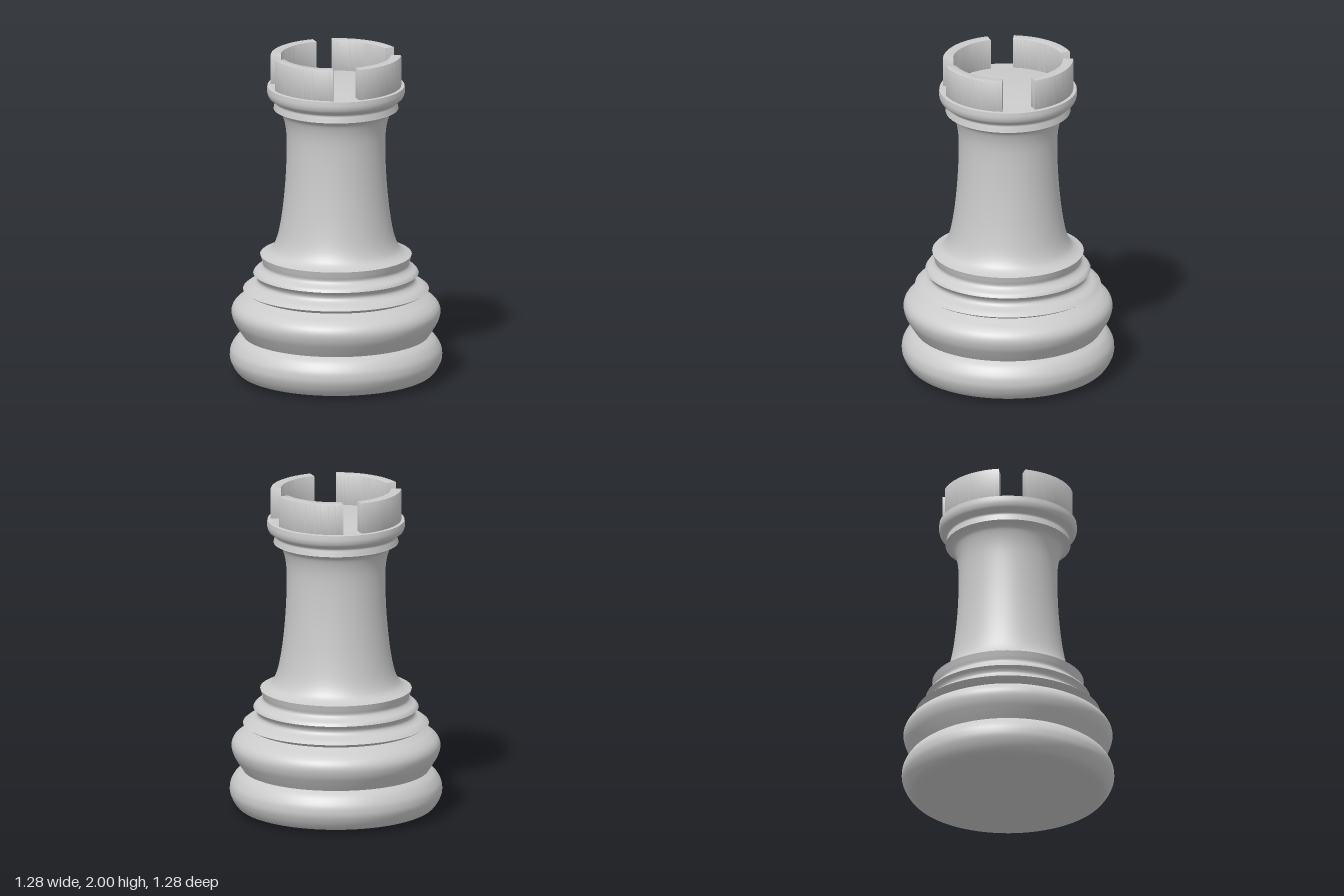
import * as THREE from 'three';
import { toCreasedNormals } from 'three/addons/utils/BufferGeometryUtils.js';

const material = new THREE.MeshStandardMaterial({ color: 0xcccccc });

// Turned section: a smooth curve through [radius, height] points
function turned(name, points, steps = 28) {
  const curve = new THREE.SplineCurve(points.map(([r, y]) => new THREE.Vector2(r, y)));
  const profile = curve.getPoints(steps);
  profile.forEach((p) => { p.x = Math.max(p.x, 0); });
  const mesh = new THREE.Mesh(new THREE.LatheGeometry(profile, 96), material);
  mesh.name = name;
  return mesh;
}

// Curved battlement block centred on an angle (degrees, counter-clockwise from +x)
function merlon(name, degrees) {
  const inner = 0.33, outer = 0.393, bevel = 0.005;
  const mid = THREE.MathUtils.degToRad(degrees);
  const half = THREE.MathUtils.degToRad(33.4);
  const shape = new THREE.Shape();
  shape.absarc(0, 0, outer, mid - half, mid + half, false);
  shape.absarc(0, 0, inner, mid + half, mid - half, true);
  const geometry = new THREE.ExtrudeGeometry(shape, {
    depth: 0.2 - bevel * 2, curveSegments: 28,
    bevelSize: bevel, bevelThickness: bevel, bevelOffset: -bevel, bevelSegments: 2,
  });
  geometry.rotateX(-Math.PI / 2);
  geometry.translate(0, 1.8 + bevel, 0);
  const mesh = new THREE.Mesh(toCreasedNormals(geometry, 0.7), material);
  mesh.name = name;
  return mesh;
}

export function createModel() {
  const group = new THREE.Group();
  group.name = 'chessRook';

  // Stacked base rolls
  group.add(turned('foot', [
    [0, 0], [0.3, 0.005], [0.5, 0.014], [0.575, 0.028], [0.61, 0.06],
    [0.635, 0.11], [0.639, 0.15], [0.63, 0.19], [0.6, 0.235], [0.56, 0.264],
  ], 48));
  group.add(turned('baseRoll', [
    [0.56, 0.264], [0.59, 0.31], [0.618, 0.36], [0.629, 0.41],
    [0.615, 0.45], [0.58, 0.481], [0.54, 0.502], [0.505, 0.52],
  ], 36));

  // Stepped rings
  group.add(turned('lowerRingUnderside', [[0.505, 0.52], [0.53, 0.53], [0.559, 0.547]], 8));
  group.add(turned('lowerRing', [[0.559, 0.547], [0.53, 0.568], [0.49, 0.585], [0.474, 0.605], [0.48, 0.626], [0.498, 0.646]]));
  group.add(turned('middleRing', [[0.498, 0.646], [0.485, 0.664], [0.455, 0.682], [0.44, 0.702], [0.447, 0.73], [0.456, 0.762]]));

  // Waisted tower
  group.add(turned('tower', [
    [0.456, 0.762], [0.412, 0.778], [0.378, 0.81], [0.35, 0.88], [0.327, 1.0],
    [0.31, 1.15], [0.3, 1.3], [0.297, 1.45], [0.303, 1.55], [0.322, 1.625],
    [0.345, 1.653], [0.376, 1.668],
  ], 60));

  // Collar and the floor inside the battlements
  group.add(turned('collarNeck', [[0.376, 1.668], [0.371, 1.69], [0.368, 1.712], [0.385, 1.727], [0.405, 1.743], [0.415, 1.772], [0.413, 1.808]], 32));
  group.add(turned('floor', [[0.413, 1.808], [0.39, 1.811], [0.33, 1.813], [0.2, 1.822], [0, 1.83]]));

  // Four battlements, one turned slightly off the axis
  group.add(merlon('backMerlon', 90));
  group.add(merlon('rightMerlon', 180));
  group.add(merlon('frontMerlon', 270));
  group.add(merlon('leftMerlon', 6.4));

  return group;
}
